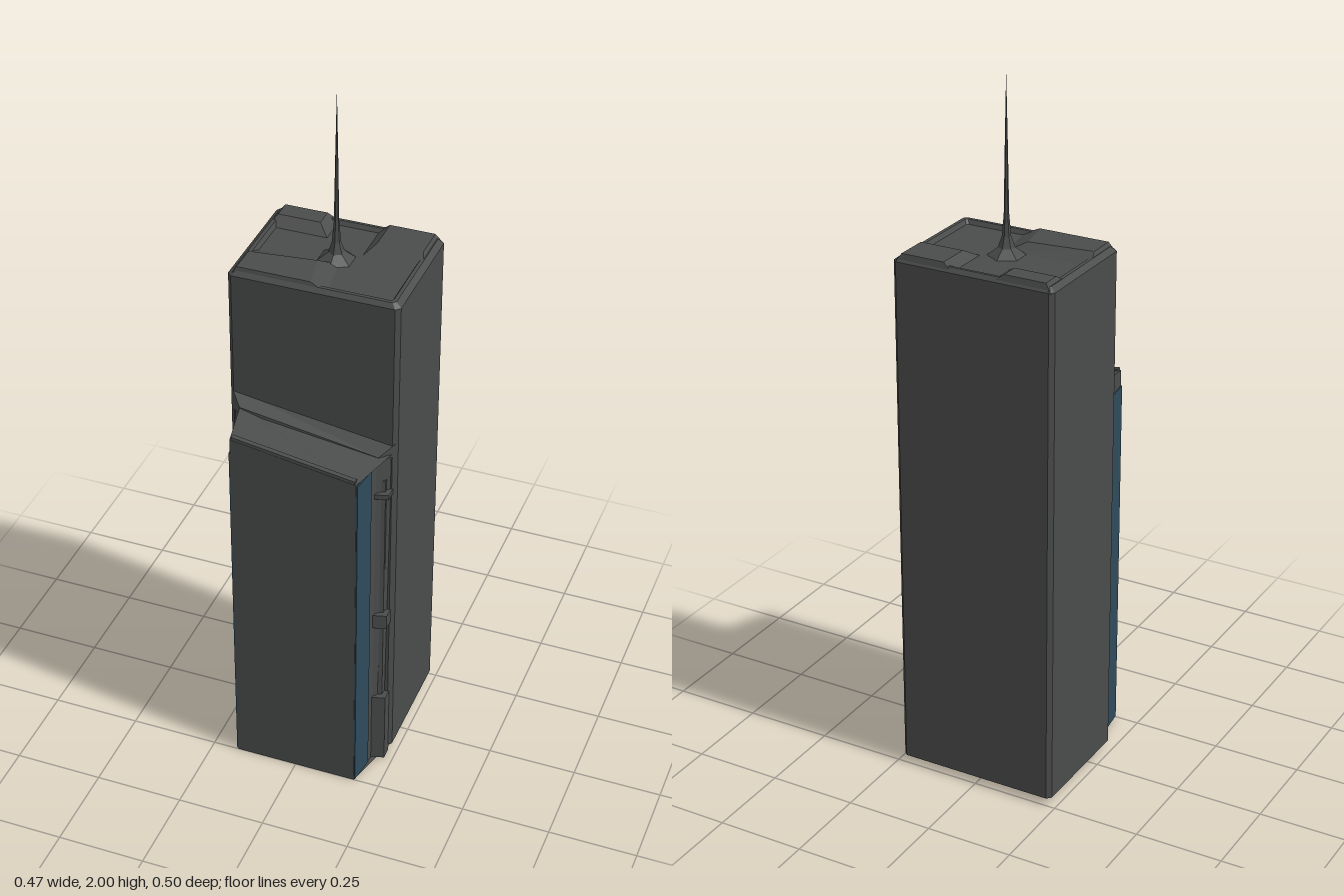
import * as THREE from 'three';

const mat = (color) => new THREE.MeshStandardMaterial({ color, flatShading: true, roughness: 0.9 });

// Closed solid through rings of [x, y, z], each counterclockwise from above, bottom to top
function loft(rings) {
  const pos = [];
  const tri = (a, b, c) => pos.push(...a, ...b, ...c);
  const n = rings[0].length;
  for (let i = 0; i + 1 < rings.length; i++) {
    for (let j = 0; j < n; j++) {
      const k = (j + 1) % n;
      tri(rings[i][j], rings[i][k], rings[i + 1][k]);
      tri(rings[i][j], rings[i + 1][k], rings[i + 1][j]);
    }
  }
  const low = rings[0], top = rings[rings.length - 1];
  for (let j = 1; j + 1 < n; j++) {
    tri(low[0], low[j + 1], low[j]);
    tri(top[0], top[j], top[j + 1]);
  }
  const g = new THREE.BufferGeometry();
  g.setAttribute('position', new THREE.Float32BufferAttribute(pos, 3));
  g.computeVertexNormals();
  return g;
}

// Rectangle with cut corners at height y
const octagon = (y, x0, x1, z0, z1, c) => [
  [x1 - c, y, z1], [x1, y, z1 - c], [x1, y, z0 + c], [x1 - c, y, z0],
  [x0 + c, y, z0], [x0, y, z0 + c], [x0, y, z1 - c], [x0 + c, y, z1],
];
const rect = (y, x0, x1, z0, z1) => [[x1, y, z1], [x1, y, z0], [x0, y, z0], [x0, y, z1]];

export function createModel() {
  const model = new THREE.Group();
  const wall = mat(0x4a4c4b);
  const glass = mat(0x2f4a5a);
  const add = (name, geometry, material = wall) => {
    const mesh = new THREE.Mesh(geometry, material);
    mesh.name = name;
    model.add(mesh);
    return mesh;
  };

  // Main shaft with bevelled foot, rim and sunken roof
  add('tower', loft([
    octagon(0.005, -0.22, 0.22, -0.22, 0.1, 0.015),
    octagon(0.025, -0.235, 0.235, -0.25, 0.106, 0.012),
    octagon(1.508, -0.235, 0.235, -0.25, 0.106, 0.012),
    octagon(1.52, -0.22, 0.22, -0.24, 0.095, 0.008),
    octagon(1.52, -0.21, 0.21, -0.232, 0.085, 0.006),
    octagon(1.508, -0.203, 0.203, -0.225, 0.078, 0.006),
  ]));

  // Sloped blocks on the roof
  add('roofBlockBackLeft', loft([
    rect(1.505, 0.055, 0.228, -0.248, -0.1),
    rect(1.53, 0.085, 0.21, -0.24, -0.145),
  ]));
  add('roofBlockBackRight', loft([
    rect(1.505, -0.228, -0.055, -0.248, -0.15),
    rect(1.53, -0.21, -0.09, -0.24, -0.187),
  ]));
  add('roofPlatform', loft([
    [[0.045, 1.505, 0.1], [0.02, 1.505, -0.05], [-0.228, 1.505, -0.04], [-0.228, 1.505, 0.1]],
    [[-0.01, 1.53, 0.092], [-0.03, 1.53, -0.01], [-0.212, 1.53, 0.012], [-0.212, 1.53, 0.092]],
  ]));

  // Mast: flared foot running into a needle
  const mast = [[0.055, 1.505], [0.022, 1.53], [0.012, 1.56], [0.007, 1.62], [0.004, 1.8], [0, 2]];
  add('mast', new THREE.LatheGeometry(mast.map(([r, y]) => new THREE.Vector2(r, y)), 6))
    .position.z = -0.068;

  // Lower front wing with slanted top
  const footY = 0.002;
  add('frontWing', loft([
    [[0.176, footY, 0.25], [0.19, footY, 0.14], [0.215, footY, 0.1],
      [-0.215, footY, 0.1], [-0.195, footY, 0.135], [-0.176, footY, 0.25]],
    [[0.176, 1.045, 0.25], [0.19, 1.055, 0.14], [0.225, 1.06, 0.1],
      [-0.225, 1.12, 0.1], [-0.195, 1.12, 0.135], [-0.176, 1.1, 0.25]],
  ]));
  // Sloping strip where the wing roof meets the shaft
  add('wingFlashing', loft([
    [[0.19, 1.045, 0.14], [0.23, 1.05, 0.1], [-0.23, 1.09, 0.1], [-0.195, 1.1, 0.137]],
    [[0.195, 1.06, 0.135], [0.23, 1.09, 0.1], [-0.23, 1.155, 0.1], [-0.195, 1.122, 0.135]],
  ]));
  // Raised edge along the front of the wing roof
  add('wingParapet', loft([
    [[0.172, 1.03, 0.25], [0.172, 1.03, 0.235], [-0.172, 1.09, 0.235], [-0.172, 1.09, 0.25]],
    [[0.172, 1.055, 0.249], [0.172, 1.055, 0.235], [-0.172, 1.108, 0.235], [-0.172, 1.108, 0.249]],
  ]));

  // Glass strips on both sides of the wing
  for (const s of [1, -1]) {
    const h = s > 0 ? 1.035 : 1.05;
    const strip = add(s > 0 ? 'glassStripLeft' : 'glassStripRight',
      new THREE.BoxGeometry(0.012, h, 0.08), glass);
    strip.position.set(s * 0.179, h / 2 + 0.005, 0.209);
    strip.rotation.y = -s * 0.127;
  }

  // Infill column and ledges in the left corner between wing and shaft
  const corner = (y, w, z) => [[0.18, y, z], [w, y, z - 0.012], [w, y, 0.1], [0.18, y, 0.1]];
  add('cornerColumn', loft([corner(0.003, 0.212, 0.135), corner(0.98, 0.212, 0.135)]));
  for (const [y0, y1] of [[0.003, 0.23], [0.485, 0.53], [0.93, 0.945]]) {
    add('cornerLedge', loft([corner(y0, 0.226, 0.148), corner(y1, 0.226, 0.148)]));
  }
  return model;
}
